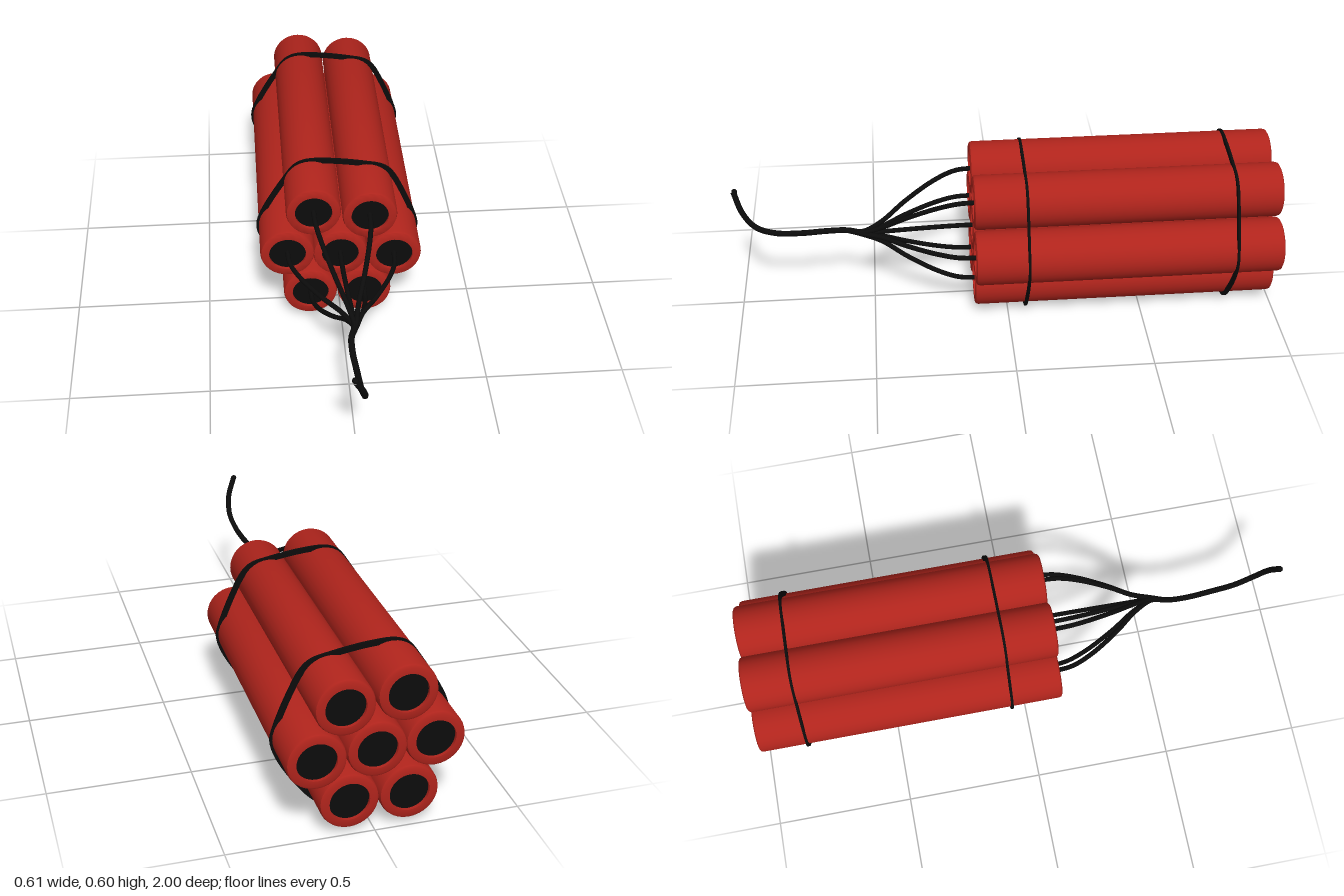
import * as THREE from 'three';
import { toCreasedNormals } from 'three/addons/utils/BufferGeometryUtils.js';

const red = new THREE.MeshStandardMaterial({ color: 0xb0241c });
const black = new THREE.MeshStandardMaterial({ color: 0x0c0c0c });
const BACK = -1, FRONT = 0.125, RECESS = 0.012, HOLE = 0.068;

// Centres of the seven sticks, seen from the front
const centres = [
  [-0.1, 0.49], [0.105, 0.467], [-0.198, 0.308], [-0.003, 0.3],
  [0.197, 0.286], [-0.115, 0.122], [0.087, 0.121],
];

function addMesh(parent, name, geometry, material) {
  const mesh = new THREE.Mesh(geometry, material);
  mesh.name = name;
  parent.add(mesh);
  return mesh;
}

function tube(points, radius, segments) {
  const curve = new THREE.CatmullRomCurve3(points.map(p => new THREE.Vector3(...p)));
  return new THREE.TubeGeometry(curve, segments, radius, 8);
}

// Paper tube with bevelled rims and a shallow recess at each end
function stickGeometry() {
  const profile = [
    [HOLE, BACK + RECESS], [HOLE, BACK], [0.09, BACK], [0.097, BACK + 0.004], [0.1, BACK + 0.013],
    [0.1, FRONT - 0.013], [0.097, FRONT - 0.004], [0.09, FRONT], [HOLE, FRONT], [HOLE, FRONT - RECESS],
  ].map(p => new THREE.Vector2(...p));
  const geometry = new THREE.LatheGeometry(profile, 32).rotateX(Math.PI / 2);
  return toCreasedNormals(geometry, 0.7);
}

// Flat band around the bundle: closed outline extruded, with an inset hole
function strapGeometry() {
  const outline = [
    [-0.115, 0.597], [-0.03, 0.597], [0.1, 0.578], [0.17, 0.56], [0.205, 0.53], [0.25, 0.445],
    [0.297, 0.325], [0.305, 0.28], [0.285, 0.21], [0.21, 0.09], [0.15, 0.025], [0.09, 0.002],
    [-0.09, 0.002], [-0.16, 0.02], [-0.2, 0.06], [-0.25, 0.16], [-0.3, 0.265], [-0.307, 0.31],
    [-0.29, 0.37], [-0.2, 0.525], [-0.16, 0.577],
  ].map(([x, y]) => new THREE.Vector3(x, y, 0));
  const curve = new THREE.CatmullRomCurve3(outline, true, 'centripetal');
  const outer = [], inner = [];
  for (let i = 0; i < 84; i++) {
    const p = curve.getPoint(i / 84), t = curve.getTangent(i / 84);
    outer.push(new THREE.Vector2(p.x, p.y));
    inner.push(new THREE.Vector2(p.x + t.y * 0.02, p.y - t.x * 0.02));
  }
  const shape = new THREE.Shape(outer);
  shape.holes.push(new THREE.Path(inner));
  const geometry = new THREE.ExtrudeGeometry(shape, { depth: 0.009, bevelEnabled: false });
  return toCreasedNormals(geometry, 0.6);
}

export function createModel() {
  const model = new THREE.Group();
  model.name = 'stickBundle';

  // Sticks with dark end plugs and a wire leading to the junction
  const stick = stickGeometry();
  const plug = new THREE.CylinderGeometry(HOLE, HOLE, FRONT - BACK - 2 * RECESS, 32)
    .rotateX(Math.PI / 2).translate(0, 0, (FRONT + BACK) / 2);
  const joint = [0.018, 0.3];
  centres.forEach(([x, y], i) => {
    const group = new THREE.Group();
    group.name = `stick${i + 1}`;
    group.position.set(x, y, 0);
    addMesh(group, 'casing', stick, red);
    addMesh(group, 'endPlugs', plug, black);
    model.add(group);

    // Each wire leaves straight, then bends in to the junction
    const at = (k, z) => [x + (joint[0] - x) * k, y + (joint[1] - y) * k, z];
    const path = [at(0, FRONT - 0.02), at(0.03, 0.18), at(0.18, 0.26), at(0.5, 0.37),
      at(0.82, 0.46), at(0.97, 0.53), [0, 0.303, 0.59]];
    addMesh(model, `wire${i + 1}`, tube(path, 0.009, 32), black);
  });

  // Main fuse, curling up at its free end
  const fuse = [[0.018, 0.3, 0.53], [0, 0.304, 0.59], [-0.003, 0.303, 0.66], [0.004, 0.303, 0.76],
    [0.01, 0.312, 0.85], [0.016, 0.345, 0.92], [0.008, 0.405, 0.965], [-0.022, 0.48, 0.993]];
  addMesh(model, 'mainFuse', tube(fuse, 0.011, 48), black);
  const tip = addMesh(model, 'fuseTip', new THREE.SphereGeometry(0.011, 10, 8), black);
  tip.position.set(-0.022, 0.48, 0.989);

  // Two straps holding the bundle
  const strap = strapGeometry();
  [['frontStrap', -0.07], ['backStrap', -0.83]].forEach(([name, z]) => {
    addMesh(model, name, strap, black).position.z = z;
  });
  return model;
}
